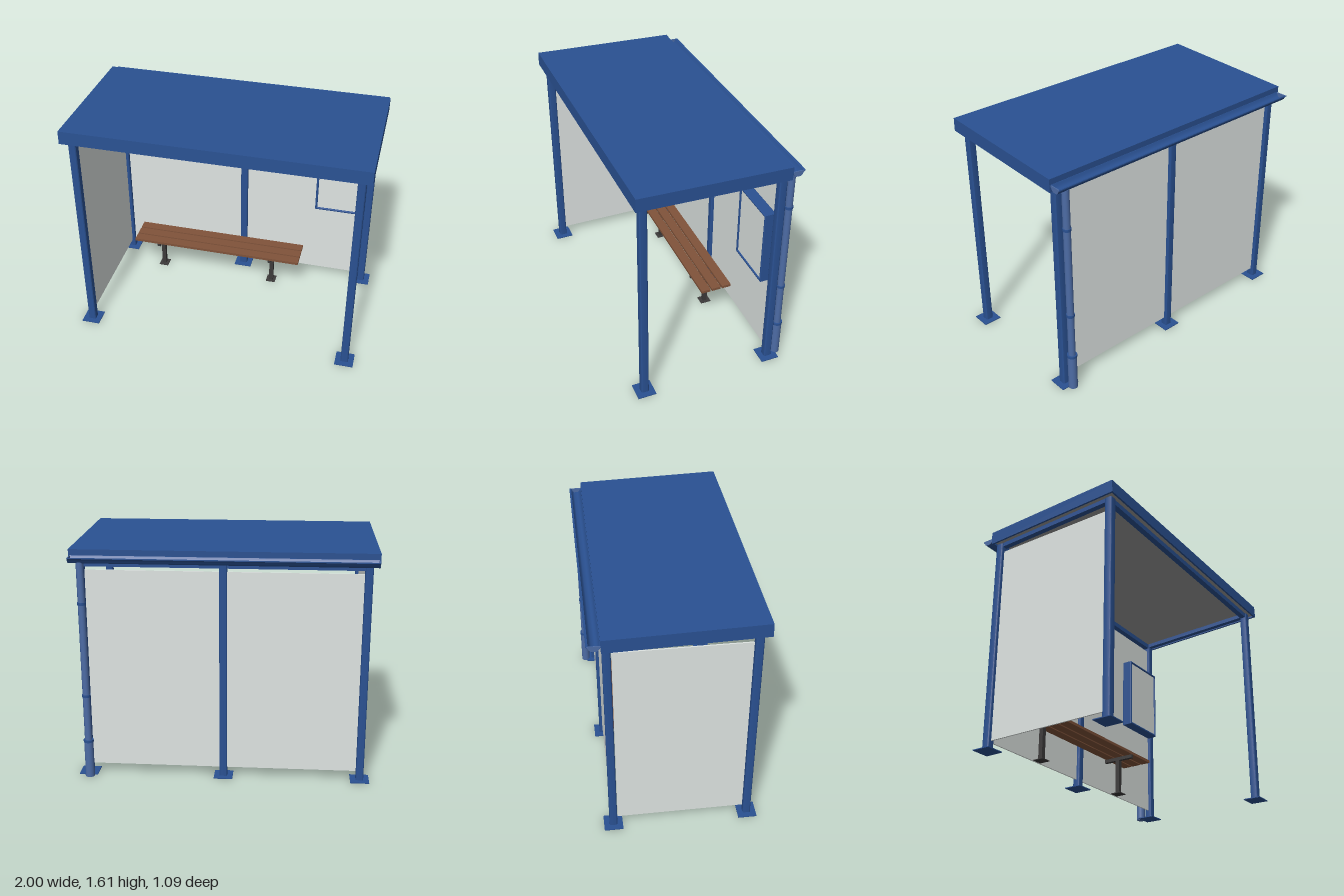
import * as THREE from 'three';
import { toCreasedNormals } from 'three/addons/utils/BufferGeometryUtils.js';

const mat = (name, color) => {
  const m = new THREE.MeshStandardMaterial({ color });
  m.name = name;
  return m;
};

export function createModel() {
  const blue = mat('blue paint', 0x2a5192);
  const paleBlue = mat('downpipe blue', 0x4d6ca5);
  const panelGrey = mat('frosted panel', 0xdee4e2);
  const ceilingGrey = mat('ceiling grey', 0x9c9c9c);
  const wood = mat('bench wood', 0x80533a);
  const iron = mat('dark iron', 0x3c3a3a);

  const model = new THREE.Group();
  model.name = 'busShelter';

  const add = (parent, name, geo, material, x = 0, y = 0, z = 0) => {
    const mesh = new THREE.Mesh(geo, material);
    mesh.name = name;
    mesh.position.set(x, y, z);
    parent.add(mesh);
    return mesh;
  };
  // Box given by its limits on each axis
  const box = (parent, name, material, [x0, x1], [y0, y1], [z0, z1]) =>
    add(parent, name, new THREE.BoxGeometry(x1 - x0, y1 - y0, z1 - z0), material,
      (x0 + x1) / 2, (y0 + y1) / 2, (z0 + z1) / 2);

  // Square post section with rounded corners
  const h = 0.026, r = 0.009;
  const postShape = new THREE.Shape();
  for (let i = 0; i < 4; i++) {
    const a = i * Math.PI / 2, c = Math.SQRT2 * (h - r);
    postShape.absarc(c * Math.cos(a + Math.PI / 4), c * Math.sin(a + Math.PI / 4), r, a, a + Math.PI / 2);
  }
  const post = (name, x, z, height) => {
    const group = new THREE.Group();
    group.name = name;
    group.position.set(x, 0, z);
    const geo = new THREE.ExtrudeGeometry(postShape, { depth: height, bevelEnabled: false, curveSegments: 4 });
    add(group, 'postShaft', toCreasedNormals(geo.rotateX(-Math.PI / 2), 0.7), blue);
    box(group, 'basePlate', blue, [-0.064, 0.064], [0, 0.006], [-0.063, 0.063]);
    model.add(group);
  };
  for (const x of [-0.932, 0.932]) post('frontPost', x, 0.482, 1.525);
  for (const x of [-0.932, 0, 0.932]) post('rearPost', x, -0.427, 1.5);

  // Wall panels
  box(model, 'rearPanel', panelGrey, [-0.905, -0.02], [0.065, 1.44], [-0.432, -0.422]);
  box(model, 'rearPanel', panelGrey, [0.02, 0.905], [0.065, 1.44], [-0.432, -0.422]);
  box(model, 'sidePanel', panelGrey, [-0.937, -0.927], [0.065, 1.44], [-0.397, 0.452]);

  // Beams joining the post tops
  box(model, 'frontBeam', blue, [-0.91, 0.91], [1.49, 1.525], [0.462, 0.502]);
  box(model, 'rearBeam', blue, [-0.91, 0.91], [1.465, 1.5], [-0.447, -0.407]);

  // Sloping roof: sheet, fascia ring, ceiling and side beams
  const roof = new THREE.Group();
  roof.name = 'roof';
  roof.position.set(0, 1.549, 0.042);
  roof.rotation.x = -0.029;
  model.add(roof);
  box(roof, 'roofSheet', blue, [-1, 1], [0.035, 0.045], [-0.502, 0.502]);
  for (const s of [-1, 1]) {
    box(roof, 'sideFascia', blue, [s * 0.994 - 0.006, s * 0.994 + 0.006], [-0.045, 0.035], [-0.502, 0.502]);
    box(roof, 'endFascia', blue, [-0.988, 0.988], [-0.045, 0.035], [s * 0.496 - 0.006, s * 0.496 + 0.006]);
    box(roof, 'sideBeam', blue, [s * 0.93 - 0.018, s * 0.93 + 0.018], [-0.06, -0.02], [-0.45, 0.42]);
  }
  box(roof, 'ceiling', ceilingGrey, [-0.988, 0.988], [-0.03, -0.022], [-0.49, 0.49]);

  // Rear gutter: rounded open trough swept along x
  const trough = new THREE.Shape([
    [0.455, 1.54], [0.462, 1.522], [0.472, 1.507], [0.485, 1.5], [0.515, 1.5], [0.526, 1.51], [0.534, 1.526],
    [0.545, 1.533], [0.545, 1.54], [0.532, 1.538], [0.522, 1.518], [0.512, 1.508], [0.488, 1.508],
    [0.478, 1.514], [0.469, 1.526], [0.463, 1.54],
  ].map(([x, y]) => new THREE.Vector2(x, y)));
  const gutterGeo = new THREE.ExtrudeGeometry(trough, { depth: 1.98, bevelEnabled: false });
  add(model, 'gutter', toCreasedNormals(gutterGeo.rotateY(Math.PI / 2), 0.8), blue, -0.99);
  // Caps closing the gutter ends
  const cap = new THREE.Shape([
    [0.456, 1.538], [0.473, 1.507], [0.485, 1.501], [0.515, 1.501], [0.526, 1.511], [0.54, 1.538],
  ].map(([x, y]) => new THREE.Vector2(x, y)));
  for (const x of [-0.992, 0.986]) {
    const geo = new THREE.ExtrudeGeometry(cap, { depth: 0.006, bevelEnabled: false });
    add(model, 'gutterEnd', geo.rotateY(Math.PI / 2), paleBlue, x);
  }

  // Downpipe with collars and a wider foot
  const pipe = new THREE.Group();
  pipe.name = 'downpipe';
  pipe.position.set(0.918, 0, -0.5);
  model.add(pipe);
  const tube = (name, material, radius, y0, y1) =>
    add(pipe, name, new THREE.CylinderGeometry(radius, radius, y1 - y0, 24), material, 0, (y0 + y1) / 2, 0);
  tube('pipe', paleBlue, 0.024, 0.01, 1.506);
  tube('pipeFoot', paleBlue, 0.031, 0, 0.265);
  tube('footCollar', blue, 0.034, 0.255, 0.272);
  for (const y of [0.59, 1.23]) tube('pipeCollar', blue, 0.028, y - 0.009, y + 0.009);

  // Notice case: softly bevelled frame with a glazed front
  const rect = (path, x0, y0, x1, y1) =>
    path.moveTo(x0, y0).lineTo(x1, y0).lineTo(x1, y1).lineTo(x0, y1).closePath();
  const frame = rect(new THREE.Shape(), 0.55, 0.658, 0.908, 1.19);
  frame.holes.push(rect(new THREE.Path(), 0.566, 0.674, 0.894, 1.176));
  const frameGeo = new THREE.ExtrudeGeometry(frame, {
    depth: 0.068, bevelThickness: 0.005, bevelSize: 0.005, bevelOffset: -0.005, bevelSegments: 2,
  });
  add(model, 'noticeFrame', frameGeo, blue, 0, 0, -0.418);
  box(model, 'noticeFront', panelGrey, [0.564, 0.896], [0.672, 1.178], [-0.362, -0.354]);

  // Bench: three slats on two pedestal legs
  const bench = new THREE.Group();
  bench.name = 'bench';
  model.add(bench);
  for (const z of [-0.17, -0.249, -0.328]) {
    box(bench, 'seatSlat', wood, [-0.8, 0.475], [0.274, 0.293], [z - 0.034, z + 0.034]);
  }
  for (const x of [-0.61, 0.255]) {
    box(bench, 'seatSupport', iron, [x - 0.012, x + 0.012], [0.25, 0.274], [-0.372, -0.14]);
    box(bench, 'benchLeg', iron, [x - 0.015, x + 0.015], [0, 0.252], [-0.275, -0.245]);
    box(bench, 'legPlate', iron, [x - 0.035, x + 0.035], [0, 0.005], [-0.298, -0.222]);
  }

  return model;
}
